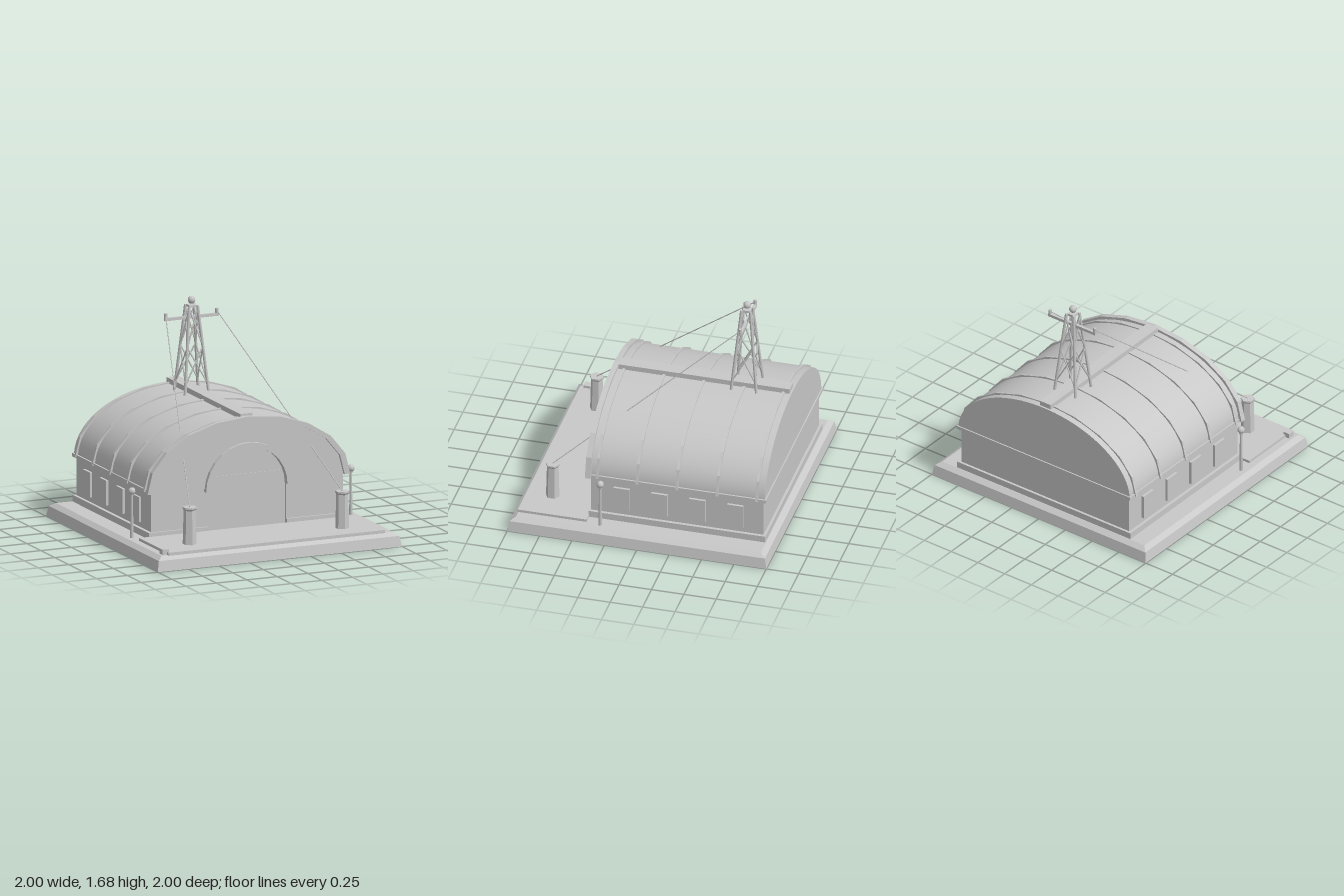
import * as THREE from 'three';

export function createModel() {
  const model = new THREE.Group();
  model.name = 'archedHall';
  const grey = new THREE.MeshStandardMaterial({ color: 0xc8c8c8 });
  grey.name = 'paleGrey';
  const greyOpen = new THREE.MeshStandardMaterial({ color: 0xc8c8c8, side: THREE.DoubleSide });
  greyOpen.name = 'paleGrey';

  const add = (name, geometry, x = 0, y = 0, z = 0, material = grey) => {
    const mesh = new THREE.Mesh(geometry, material);
    mesh.name = name;
    mesh.position.set(x, y, z);
    model.add(mesh);
    return mesh;
  };
  // Box given by its limits on each axis
  const box = (name, x0, x1, y0, y1, z0, z1) =>
    add(name, new THREE.BoxGeometry(x1 - x0, y1 - y0, z1 - z0), (x0 + x1) / 2, (y0 + y1) / 2, (z0 + z1) / 2);
  // Round bar between two points
  const rod = (name, a, b, radius, sides = 6) => {
    const p = new THREE.Vector3(...a), q = new THREE.Vector3(...b);
    const dir = q.clone().sub(p);
    const mesh = add(name, new THREE.CylinderGeometry(radius, radius, dir.length(), sides));
    mesh.position.copy(p).add(q).multiplyScalar(0.5);
    mesh.quaternion.setFromUnitVectors(new THREE.Vector3(0, 1, 0), dir.normalize());
  };
  // Upper half of an ellipse, from right to left
  const arc = (rx, ry, n, y) => Array.from({ length: n + 1 }, (_, i) => {
    const t = Math.PI * i / n;
    return new THREE.Vector2(rx * Math.cos(t), y + ry * Math.sin(t));
  });
  const plate = (name, points, z0, z1) =>
    add(name, new THREE.ExtrudeGeometry(new THREE.Shape(points), { depth: z1 - z0, bevelEnabled: false }), 0, 0, z0);
  const archBand = (name, outer, inner, n, y, z0, z1) =>
    plate(name, [...arc(...outer, n, y), ...arc(...inner, n, y).reverse()], z0, z1);
  // Square frustum built from a four-sided cylinder
  const frustum = (name, top, bottom, y0, y1) => {
    const g = new THREE.CylinderGeometry(top * Math.SQRT2, bottom * Math.SQRT2, y1 - y0, 4, 1).rotateY(Math.PI / 4).toNonIndexed();
    g.computeVertexNormals();
    add(name, g, 0, (y0 + y1) / 2, 0);
  };

  // Ground slab with chamfered rim, and the front terrace
  frustum('slab', 0.985, 1, 0, 0.08);
  frustum('slabRim', 0.945, 0.985, 0.08, 0.107);
  box('terrace', -0.89, 0.885, 0.1, 0.127, 0.42, 0.95);
  box('terraceBlock', -0.925, -0.87, 0.1, 0.147, 0.865, 0.92);

  // Walls, plinth and cornice
  box('walls', -0.785, 0.785, 0.1, 0.46, -0.92, 0.395);
  box('plinth', -0.81, 0.81, 0.1, 0.157, -0.94, 0.39);
  box('cornice', -0.812, 0.812, 0.452, 0.478, -0.945, 0.4);
  for (const s of [-1, 1]) {
    const span = (a, b) => (s > 0 ? [a, b] : [-b, -a]);
    box('frontWall', ...span(0.32, 0.785), 0.1, 0.45, 0.38, 0.41);
    box('frontPlinth', ...span(0.32, 0.81), 0.1, 0.157, 0.38, 0.425);
    for (const z of [0.172, -0.12, -0.413, -0.705])
      box('windowPanel', ...span(0.78, 0.805), 0.2, 0.39, z - 0.062, z + 0.062);
  }

  // Barrel roof with gables, ribs and ridge cap
  const vault = new THREE.CylinderGeometry(1, 1, 1.345, 48, 1, true, Math.PI / 2, Math.PI)
    .rotateX(Math.PI / 2).scale(0.8, 0.49, 1);
  add('roof', vault, 0, 0.46, -0.2625, greyOpen);
  plate('backGable', arc(0.8, 0.49, 48, 0.46), -0.935, -0.915);
  plate('entranceBack', arc(0.79, 0.48, 32, 0.45), 0.375, 0.395);
  plate('frontGable', [...arc(0.79, 0.49, 20, 0.45), ...arc(0.32, 0.31, 16, 0.45).reverse()], 0.39, 0.42);
  archBand('roofRim', [0.83, 0.52], [0.785, 0.487], 10, 0.455, 0.405, 0.447);
  for (const z of [0.355, 0.047, -0.26, -0.57, -0.875])
    archBand('roofRib', [0.823, 0.505], [0.78, 0.47], 10, 0.46, z - 0.01, z + 0.01);
  box('ridgeCap', -0.05, 0.05, 0.93, 0.988, -0.92, 0.4);

  // Entrance arch and transom
  archBand('entranceArch', [0.352, 0.35], [0.315, 0.315], 14, 0.425, 0.4, 0.45);
  box('transom', -0.31, 0.31, 0.475, 0.53, 0.39, 0.4);

  // Lattice mast on the ridge
  const mz = -0.58;
  const half = y => 0.092 - (y - 1) * 0.095;
  const corner = (k, y) => {
    const sx = k === 0 || k === 3 ? 1 : -1, sz = k < 2 ? 1 : -1;
    return [sx * half(y), y, mz + sz * half(y)];
  };
  for (let k = 0; k < 4; k++) {
    const n = (k + 1) % 4;
    rod('mastLeg', corner(k, 0.9), corner(k, 1.61), 0.011);
    for (const [y0, y1] of [[1.02, 1.3], [1.3, 1.59]]) {
      rod('mastBrace', corner(k, y0), corner(n, y1), 0.006, 5);
      rod('mastBrace', corner(n, y0), corner(k, y1), 0.006, 5);
    }
  }
  add('mastBall', new THREE.SphereGeometry(0.03, 8, 6), 0, 1.648, mz);
  box('mastCap', -0.03, 0.03, 1.595, 1.612, mz - 0.03, mz + 0.03);
  box('crossArm', -0.22, 0.22, 1.505, 1.527, mz - 0.016, mz + 0.006);

  // Insulators, stay cables, bollards and lamps, mirrored
  for (const s of [-1, 1]) {
    rod('insulator', [s * 0.21, 1.52, mz - 0.005], [s * 0.21, 1.562, mz - 0.005], 0.013);
    rod('stayCable', [s * 0.21, 1.545, mz - 0.005], [s * 0.625, 0.41, 0.75], 0.004, 5);

    const bollard = new THREE.LatheGeometry(
      [[0, 0.1], [0.053, 0.1], [0.045, 0.385], [0.054, 0.398], [0.054, 0.41], [0, 0.41]].map(p => new THREE.Vector2(...p)), 6).toNonIndexed();
    bollard.computeVertexNormals();
    add('bollard', bollard, s * 0.625, 0, 0.75);

    const post = new THREE.LatheGeometry(
      [[0, 0.1], [0.014, 0.1], [0.009, 0.42], [0.014, 0.43], [0.014, 0.445], [0, 0.445]].map(p => new THREE.Vector2(...p)), 8);
    add('lampPost', post, s * 0.897, 0, 0.31);
    add('lampGlobe', new THREE.SphereGeometry(0.029, 8, 6), s * 0.897, 0.463, 0.31);
  }
  return model;
}
